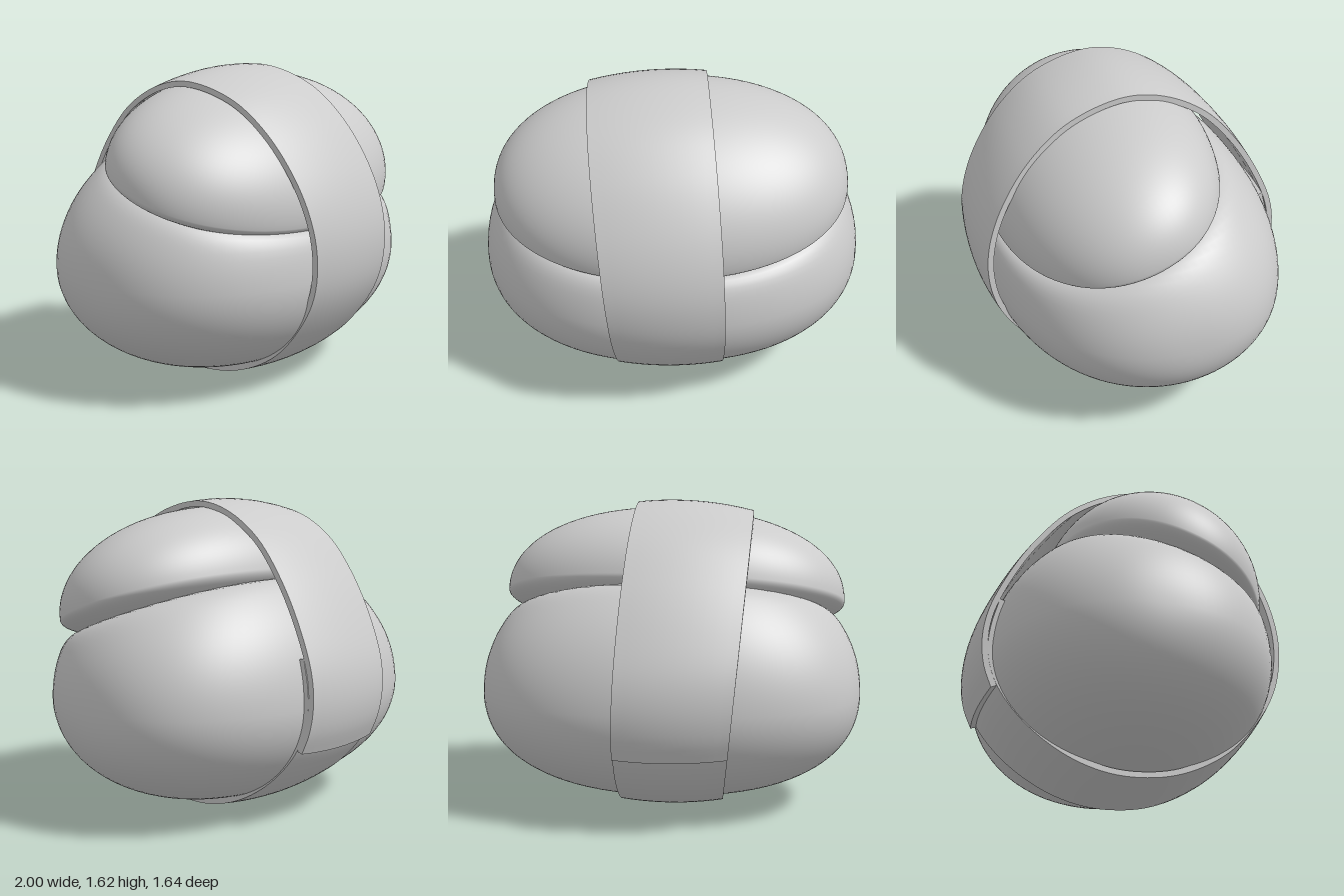
import * as THREE from 'three';
import { mergeVertices } from 'three/addons/utils/BufferGeometryUtils.js';

const material = new THREE.MeshStandardMaterial({ color: 0xcccccc });

// Moves every vertex by a rule and refreshes the normals
function warp(geometry, rule) {
  const p = geometry.attributes.position;
  const v = new THREE.Vector3();
  for (let i = 0; i < p.count; i++) {
    rule(v.fromBufferAttribute(p, i));
    p.setXYZ(i, v.x, v.y, v.z);
  }
  geometry.computeVertexNormals();
  return geometry;
}

// Seamless plump ellipsoid: blunter along x by a power, with separate upper and lower heights
function plump(rx, up, down, rz, power, finish) {
  const sphere = new THREE.SphereGeometry(1, 96, 64);
  sphere.deleteAttribute('uv');
  sphere.deleteAttribute('normal');
  return warp(mergeVertices(sphere, 1e-5), (v) => {
    const round = Math.hypot(v.y, v.z);
    v.multiplyScalar(Math.pow(Math.abs(v.x) ** power + round ** power, -1 / power));
    v.set(v.x * rx, v.y * (v.y > 0 ? up : down), v.z * rz);
    finish(v);
  });
}

function addMesh(group, name, geometry) {
  const mesh = new THREE.Mesh(geometry, material);
  mesh.name = name;
  group.add(mesh);
  return mesh;
}

export function createModel() {
  const group = new THREE.Group();
  group.name = 'wrappedBite';

  // Base: ends swept back, narrower shoulders, top softly flattened along a sagging slope
  const bodyY = 0.615, k = 0.1;
  const base = plump(1, 0.765, 0.568, 0.755, 2.3, (v) => {
    v.z -= 0.04 * v.x * v.x;
    v.x *= 1 - 0.22 * Math.max(v.y, 0) ** 2;
    const plane = 1.025 - 0.352 * (v.z - 0.13) + 0.08 * (v.z - 0.13) ** 2 - bodyY;
    const h = Math.max(k - Math.abs(v.y - plane), 0) / k;
    v.y = Math.min(v.y, plane) - h * h * k / 4;
  });
  addMesh(group, 'riceBase', base).position.y = bodyY;

  // Domed topping resting on the slope, its crown leaning back
  const topping = addMesh(group, 'topping', plump(0.91, 0.465, 0.14, 0.59, 2.15, (v) => {
    v.z -= 0.12 * Math.max(v.y, 0) + 0.015 * v.x * v.x;
    v.y += 0.04;
  }));
  topping.position.set(-0.01, 1.04, 0.13);
  topping.rotation.set(0.34, 0, 0.025);

  // Band path as [z, y]: from the outer overlap at the back, over the top, round underneath
  const path = new THREE.CatmullRomCurve3([
    [-0.755, 0.39], [-0.8, 0.5], [-0.82, 0.64], [-0.8, 0.8], [-0.71, 1.02], [-0.57, 1.25],
    [-0.39, 1.45], [-0.16, 1.58], [0.06, 1.615], [0.35, 1.535], [0.56, 1.37], [0.72, 1.14],
    [0.8, 0.93], [0.82, 0.74], [0.785, 0.54], [0.68, 0.35], [0.5, 0.16], [0.25, 0.035],
    [0, 0], [-0.2, 0.025], [-0.4, 0.105], [-0.6, 0.25], [-0.735, 0.42], [-0.785, 0.58],
    [-0.78, 0.72], [-0.745, 0.87],
  ].map(([z, y]) => new THREE.Vector3(0, y, z)));

  // Thin box bent along the path, with slanting sides and a slight crown across its width
  const band = warp(new THREE.BoxGeometry(1, 1, 1, 10, 1, 140), (v) => {
    const t = THREE.MathUtils.clamp(v.z + 0.5, 0, 1);
    const p = path.getPointAt(t), d = path.getTangentAt(t);
    const depth = 0.031 * (0.5 - v.y);
    const y = p.y - d.z * depth, z = p.z + d.y * depth;
    const left = -0.28 - 0.093 * p.y, right = 0.25 - 0.027 * p.y * p.y;
    const x = THREE.MathUtils.lerp(left, right, v.x + 0.5);
    const crown = 1 - 0.36 * x * x;
    v.set(x, 0.8 + (y - 0.8) * crown, z * crown);
  });
  addMesh(group, 'wrapBand', band);

  return group;
}
